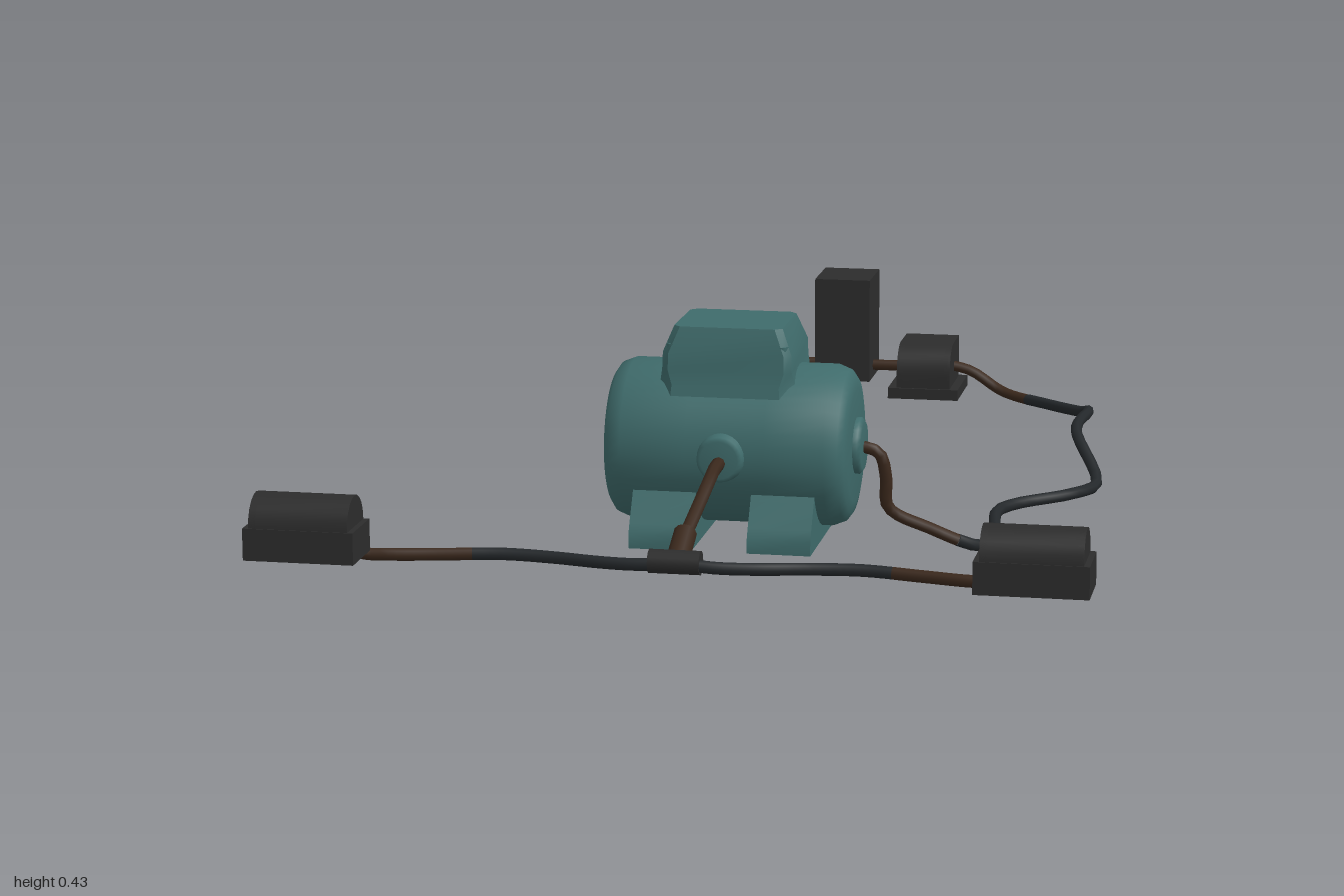
import * as THREE from 'three';
import { toCreasedNormals } from 'three/addons/utils/BufferGeometryUtils.js';

const flat = (name, color) => {
  const m = new THREE.MeshStandardMaterial({ color, side: THREE.DoubleSide });
  m.name = name;
  return m;
};

export function createModel() {
  const teal = flat('tealPaint', 0x3f6b6b);
  const black = flat('blackPlastic', 0x2c2c2c);
  const dark = flat('darkRubber', 0x24282b);
  const brown = flat('brownRubber', 0x3a281c);
  const model = new THREE.Group();
  model.name = 'pumpAssembly';

  const add = (name, geo, mat, x = 0, y = 0, z = 0, parent = model) => {
    const mesh = new THREE.Mesh(geo, mat);
    mesh.name = name;
    mesh.position.set(x, y, z);
    parent.add(mesh);
    return mesh;
  };
  const v2 = (list) => list.map(([a, b]) => new THREE.Vector2(a, b));

  // Extrudes a (z, y) outline along x, centred on x = 0
  const extrudeX = (pts, width) => {
    const g = new THREE.ExtrudeGeometry(new THREE.Shape(v2(pts)), { depth: width, bevelEnabled: false });
    g.rotateY(-Math.PI / 2).translate(width / 2, 0, 0);
    return toCreasedNormals(g, 0.6);
  };

  // Stacks chamfered rectangles given as [y, half x, half z, chamfer]
  const loft = (rows) => {
    const rings = rows.map(([y, a, b, c]) => [
      [a, -b + c], [a, b - c], [a - c, b], [-a + c, b],
      [-a, b - c], [-a, -b + c], [-a + c, -b], [a - c, -b],
    ].map(([x, z]) => [x, y, z]));
    const pos = [];
    for (let r = 0; r + 1 < rings.length; r++) {
      for (let i = 0; i < 8; i++) {
        const j = (i + 1) % 8;
        const [a, b, c, d] = [rings[r][i], rings[r][j], rings[r + 1][i], rings[r + 1][j]];
        pos.push(...a, ...c, ...b, ...b, ...c, ...d);
      }
    }
    const top = rings[rings.length - 1];
    for (let i = 0; i < 8; i++) pos.push(0, top[0][1], 0, ...top[(i + 1) % 8], ...top[i]);
    const g = new THREE.BufferGeometry();
    g.setAttribute('position', new THREE.Float32BufferAttribute(pos, 3));
    return toCreasedNormals(g, 0.7);
  };

  // Bent cable cut into coloured lengths: cuts = [[end fraction, material], ...]
  const cable = (name, pts, cuts, r = 0.011) => {
    const curve = new THREE.CatmullRomCurve3(pts.map((p) => new THREE.Vector3(...p)), false, 'centripetal');
    let from = 0;
    cuts.forEach(([to, mat], k) => {
      const n = Math.max(8, Math.round((to - from) * pts.length * 4));
      const part = [];
      for (let i = 0; i <= n; i++) part.push(curve.getPoint(from + ((to - from) * i) / n));
      add(name + k, new THREE.TubeGeometry(new THREE.CatmullRomCurve3(part), n, r, 8), mat);
      from = to;
    });
  };

  // Motor barrel lying along x
  const barrel = new THREE.LatheGeometry(v2([
    [0, -0.2], [0.1, -0.2], [0.12, -0.197], [0.134, -0.188], [0.143, -0.165], [0.143, -0.05],
    [0.143, 0.09], [0.143, 0.195], [0.134, 0.218], [0.12, 0.228], [0.1, 0.232], [0, 0.232],
  ]), 40);
  add('motorBarrel', toCreasedNormals(barrel.rotateZ(-Math.PI / 2), 0.7), teal, 0, 0.217, 0.4);

  // Flared cable outlets on the front and on the left end
  const outlet = [[0.105, 0], [0.075, 0.025], [0.055, 0.045], [0.043, 0.062], [0.04, 0.08], [0.033, 0.085], [0, 0.085]];
  add('frontOutlet', new THREE.LatheGeometry(v2(outlet), 24).rotateX(Math.PI / 2), teal, 0.015, 0.217, 0.475);
  const side = [[0.05, 0], [0.05, 0.01], [0.042, 0.016], [0, 0.016]];
  add('endOutlet', new THREE.LatheGeometry(v2(side), 24).rotateZ(-Math.PI / 2), teal, 0.23, 0.217, 0.4);

  // Terminal box on top, with a bolt in every corner
  const box = new THREE.Group();
  box.name = 'terminalBox';
  box.position.set(0.015, 0, 0.395);
  model.add(box);
  add('boxBody', loft([
    [0.27, 0.14, 0.12, 0.04], [0.335, 0.12, 0.103, 0.025], [0.36, 0.115, 0.098, 0.012],
    [0.39, 0.114, 0.096, 0.012], [0.435, 0.096, 0.082, 0.012],
  ]), teal, 0, 0, 0, box);
  for (const sx of [-1, 1]) {
    for (const sz of [-1, 1]) {
      add('boxBolt', new THREE.CylinderGeometry(0.012, 0.012, 0.03, 8), teal, sx * 0.096, 0.39, sz * 0.08, box);
    }
  }

  // Two wide feet
  const foot = [
    [-0.167, 0.055], [0.167, 0.055], [0.167, 0.08], [0.158, 0.098], [0.132, 0.14],
    [0.1, 0.2], [-0.1, 0.2], [-0.132, 0.14], [-0.158, 0.098], [-0.167, 0.08],
  ];
  for (const x of [-0.088, 0.122]) add('foot', extrudeX(foot, 0.112), teal, x, 0, 0.4);

  // Tee connector in front of the motor
  add('teeBar', new THREE.CylinderGeometry(0.021, 0.021, 0.088, 12).rotateZ(Math.PI / 2), black, -0.003, 0.11, 0.85);
  const stem = add('teeStem', new THREE.CylinderGeometry(0.02, 0.02, 0.075, 12), brown, 0, 0.126, 0.812);
  stem.rotation.x = Math.PI / 2 + 0.42;

  // Cables
  cable('frontCable', [[0.015, 0.212, 0.54], [0.015, 0.21, 0.6], [0.016, 0.204, 0.64],
    [0.008, 0.168, 0.72], [0, 0.135, 0.79]], [[1, brown]], 0.012);
  for (const s of [-1, 1]) {
    cable('branchCable', [[0.03, 0.107, 0.858], [0.07, 0.104, 0.856], [0.13, 0.102, 0.845], [0.22, 0.1, 0.82],
      [0.31, 0.1, 0.812], [0.41, 0.098, 0.825], [0.5, 0.098, 0.842], [0.55, 0.1, 0.845],
      [0.605, 0.13, 0.848], [0.617, 0.168, 0.86], [0.617, 0.178, 0.9]].map(([x, y, z]) => [s * x, y, z]),
    [[0.45, dark], [1, brown]]);
  }
  cable('rearCable', [[0.235, 0.217, 0.4], [0.272, 0.205, 0.4], [0.284, 0.16, 0.395], [0.287, 0.105, 0.388],
    [0.36, 0.06, 0.355], [0.43, 0.025, 0.32], [0.457, 0.012, 0.24], [0.44, 0.022, 0.055],
    [0.468, 0.022, -0.01], [0.565, 0.022, -0.11], [0.597, 0.022, -0.21], [0.542, 0.085, -0.35],
    [0.546, 0.085, -0.53], [0.51, 0.045, -0.71], [0.43, 0.031, -0.83], [0.33, 0.036, -0.91],
    [0.26, 0.075, -0.924], [0.2, 0.088, -0.924]], [[0.27, brown], [0.85, dark], [1, brown]]);
  add('rearLink', new THREE.CylinderGeometry(0.011, 0.011, 0.36, 8).rotateZ(Math.PI / 2), brown, 0, 0.08, -0.922);

  // Front housings: arched hoods, open underneath
  const arch = (r, bottom) => {
    const pts = [[r, bottom]];
    for (let i = 0; i <= 10; i++) {
      const a = (i / 10) * Math.PI;
      pts.push([r * Math.cos(a), 0.175 + r * Math.sin(a)]);
    }
    pts.push([-r, bottom]);
    return pts;
  };
  for (const s of [-1, 1]) {
    const g = new THREE.Group();
    g.name = 'frontHousing';
    g.position.set(s * 0.612, 0, 0.948);
    model.add(g);
    add('hood', extrudeX([...arch(0.05, 0.118), ...arch(0.038, 0.118).reverse()], 0.168), black, 0, 0, 0, g);
    for (const e of [-1, 1]) {
      add('hoodEnd', extrudeX(arch(0.05, 0.118), 0.012), black, e * 0.079, 0, 0, g);
      add('sideSkirt', new THREE.BoxGeometry(0.014, 0.055, 0.1), black, e * 0.088, 0.1455, 0, g);
    }
    add('lip', new THREE.BoxGeometry(0.19, 0.055, 0.012), black, 0, 0.1455, 0.046, g);
    add('lip', new THREE.BoxGeometry(0.19, 0.055, 0.012), black, 0, 0.1455, -0.046, g);
    add('cableSocket', new THREE.CylinderGeometry(0.019, 0.019, 0.03, 10).rotateX(Math.PI / 2), black, 0, 0.18, -0.058, g);
  }

  // Rear housings: quarter-round hoods on base plates, open at the back
  const quarter = (r, h, foot) => {
    const pts = [[-0.07, foot], [-0.07 + r, foot]];
    for (let i = 0; i <= 8; i++) {
      const a = (i / 8) * Math.PI / 2;
      pts.push([-0.125 + r + 0.055 * Math.cos(a), 0.075 + (h - 0.075) * Math.sin(a)]);
    }
    pts.push([-0.07, h]);
    return pts;
  };
  for (const s of [-1, 1]) {
    const g = new THREE.Group();
    g.name = 'rearHousing';
    g.position.set(s * 0.172, 0, -0.92);
    model.add(g);
    add('basePlate', new THREE.BoxGeometry(0.145, 0.022, 0.155), black, 0, 0.038, 0, g);
    add('hood', extrudeX([...quarter(0.142, 0.135, 0.046), ...quarter(0.128, 0.122, 0.052).reverse()], 0.1), black, 0, 0, 0, g);
    for (const e of [-1, 1]) add('hoodEnd', extrudeX(quarter(0.142, 0.135, 0.046), 0.012), black, e * 0.049, 0, 0, g);
  }

  // Rear tower with two open bays at the back
  const face = new THREE.Shape(v2([[-0.057, 0.055], [0.057, 0.055], [0.057, 0.268], [-0.057, 0.268]]));
  for (const y of [0.07, 0.168]) {
    face.holes.push(new THREE.Path(v2([[-0.043, y], [-0.043, y + 0.084], [0.043, y + 0.084], [0.043, y]])));
  }
  add('towerFrame', new THREE.ExtrudeGeometry(face, { depth: 0.09, bevelEnabled: false }), black, 0, 0, -0.997);
  add('towerFront', new THREE.BoxGeometry(0.114, 0.213, 0.042), black, 0, 0.1615, -0.887);

  return model;
}
